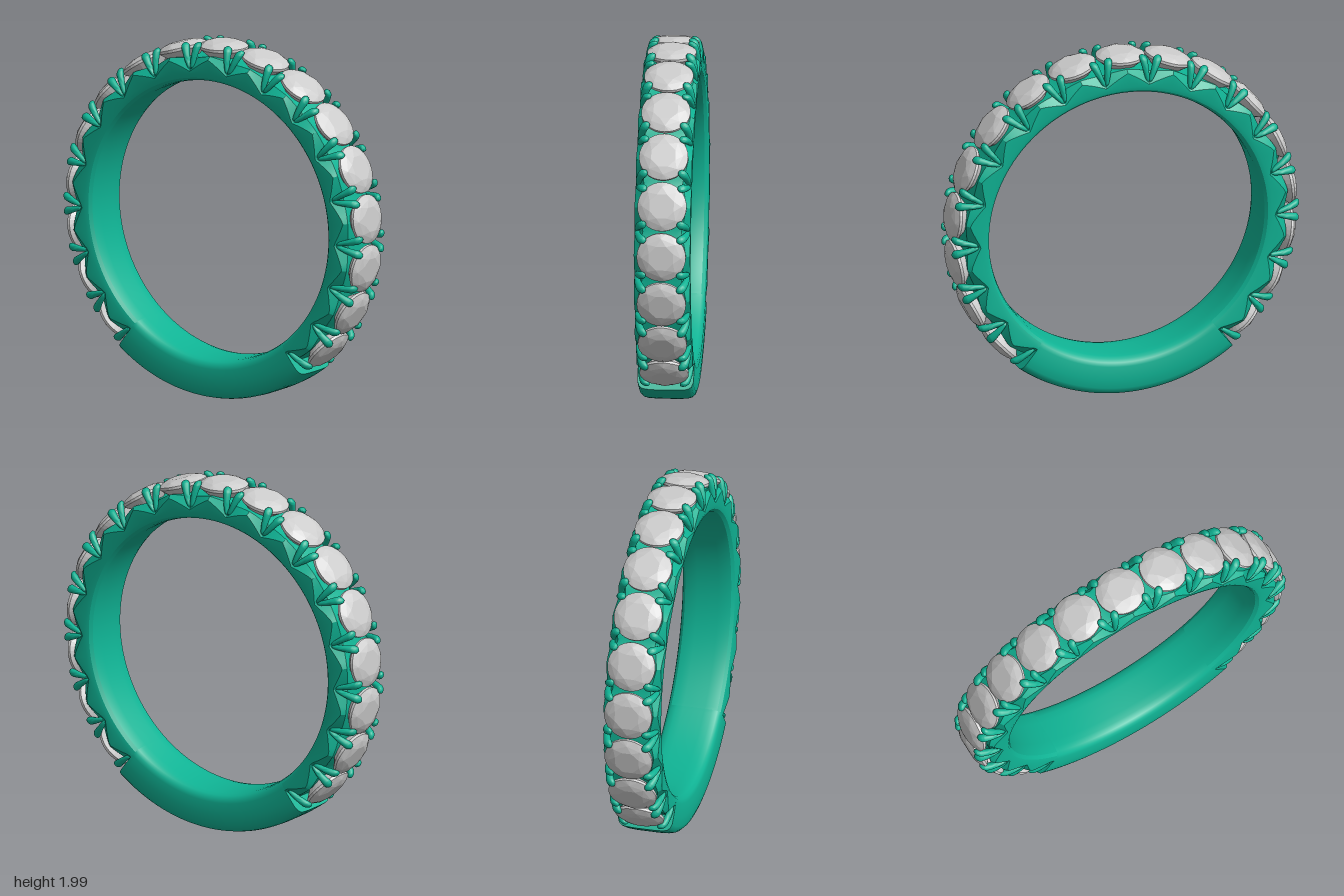
import * as THREE from 'three';
import { toCreasedNormals } from 'three/addons/utils/BufferGeometryUtils.js';
import { ConvexGeometry } from 'three/addons/geometries/ConvexGeometry.js';

const STEP = 0.291;        // angle between neighbouring stones
const SIDE = 8;            // stones on each side of the top one
const END = (SIDE + 0.5) * STEP + 0.008;

// Sweeps a half profile [radius, z] (mirrored in z) around the ring, angle measured from the top
function sweep(from, to, steps, profile, crease) {
  const pos = [], idx = [];
  let n = 0;
  for (let i = 0; i <= steps; i++) {
    const a = from + (to - from) * i / steps;
    const half = profile(a);
    const loop = [...half, ...half.slice().reverse().map(([r, z]) => [r, -z])];
    n = loop.length;
    for (const [r, z] of loop) pos.push(r * Math.sin(a), 1 + r * Math.cos(a), z);
  }
  for (let i = 0; i < steps; i++) for (let j = 0; j < n; j++) {
    const k = (j + 1) % n, a = i * n + j, b = i * n + k;
    idx.push(a, a + n, b, b, a + n, b + n);
  }
  // end caps
  [from, to].forEach((a, e) => {
    const c = pos.length / 3, base = e * steps * n;
    pos.push(0.89 * Math.sin(a), 1 + 0.89 * Math.cos(a), 0);
    for (let j = 0; j < n; j++) {
      const p = base + j, q = base + (j + 1) % n;
      idx.push(c, e ? q : p, e ? p : q);
    }
  });
  const g = new THREE.BufferGeometry();
  g.setAttribute('position', new THREE.Float32BufferAttribute(pos, 3));
  g.setIndex(idx);
  return toCreasedNormals(g, crease);
}

// Rounded inner edge shared by both parts of the band
const inner = [[0.778, 0.06], [0.78, 0.1], [0.787, 0.13], [0.802, 0.147], [0.825, 0.154]];

// Setting: the side walls rise to a peak under each stone and are cut away beside the prongs
function settingProfile(a) {
  const s = a / STEP;
  const u = 1 - 2 * Math.abs(s - Math.round(s));   // 1 at a stone, 0 between stones
  return [...inner,
    [0.838 + 0.07 * u, 0.154],
    [0.9 + 0.025 * u, 0.105 + 0.03 * u],
    [0.905 + 0.01 * u, 0.08]];
}

// Plain shank with rounded outer corners
function shankProfile() {
  return [...inner, [0.9, 0.155], [0.95, 0.153], [0.973, 0.145],
    [0.987, 0.13], [0.993, 0.108], [0.996, 0.06]];
}

// Round brilliant cut, y is outwards and 0 is the ring centre
function stoneGeometry() {
  const pts = [];
  const ring = (n, r, y, turn) => {
    for (let i = 0; i < n; i++) {
      const a = (i + turn) / n * Math.PI * 2;
      pts.push(new THREE.Vector3(r * Math.cos(a), y, r * Math.sin(a)));
    }
  };
  ring(8, 0.072, 0.993, 0.5);
  ring(8, 0.108, 0.982, 0);
  ring(32, 0.135, 0.963, 0);
  ring(32, 0.135, 0.948, 0);
  ring(8, 0.08, 0.9, 0.5);
  ring(1, 0, 0.83, 0);
  return new ConvexGeometry(pts);
}

// Claw that widens to a rounded tip, leans sideways and curls in over the stone
function prongGeometry(lean, face) {
  const g = new THREE.CapsuleGeometry(0.026, 0.095, 6, 14, 5);
  const p = g.attributes.position;
  for (let i = 0; i < p.count; i++) {
    const t = (p.getY(i) + 0.0735) / 0.147;
    const w = 0.4 + 0.58 * t;
    p.setXYZ(i,
      p.getX(i) * w + lean * (0.004 + 0.042 * t),
      0.845 + 0.147 * t,
      face * 0.139 + p.getZ(i) * w * 1.1 - face * 0.04 * t * t);
  }
  return toCreasedNormals(g, Math.PI / 2);
}

export function createModel() {
  const model = new THREE.Group();
  const metal = new THREE.MeshStandardMaterial({ color: 0x0fb394 });
  const gem = new THREE.MeshStandardMaterial({ color: 0xcccccc, flatShading: true });

  const add = (name, geometry, material, angle = 0) => {
    const m = new THREE.Mesh(geometry, material);
    m.name = name;
    // turn about the ring centre
    m.rotation.z = -angle;
    m.position.y = 1;
    model.add(m);
    return m;
  };

  add('settingBand', sweep(-END, END, 17 * 12, settingProfile, 0.35), metal).position.y = 0;
  add('plainShank', sweep(END, 2 * Math.PI - END, 48, shankProfile, 0.7), metal).position.y = 0;

  // stones
  const stone = stoneGeometry();
  for (let k = -SIDE; k <= SIDE; k++) add('stone', stone, gem, k * STEP);

  // prongs: a fanned pair on both faces between stones, single ones at the ends
  for (const face of [-1, 1]) for (const lean of [-1, 1]) {
    const prong = prongGeometry(lean, face);
    for (let k = -SIDE; k <= SIDE; k++) add('prong', prong, metal, (k - lean * 0.5) * STEP);
  }
  return model;
}
